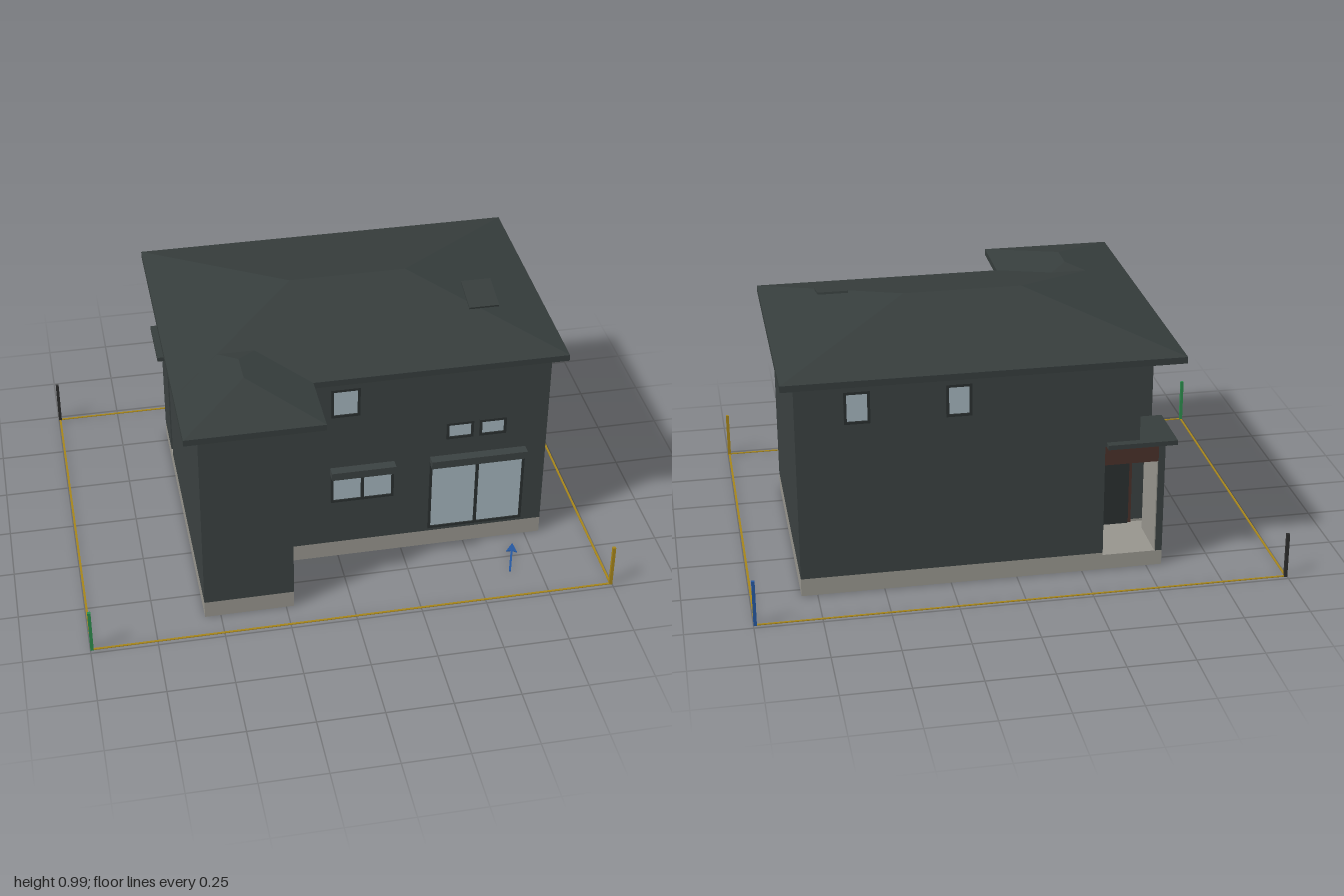
import * as THREE from 'three';

const mat = (name, color, side = THREE.FrontSide) => {
  const m = new THREE.MeshStandardMaterial({ color, side });
  m.name = name;
  return m;
};

export function createModel() {
  const house = new THREE.Group();
  house.name = 'house';
  const wall = mat('wall charcoal', 0x3a4141);
  const roof = mat('roof slate', 0x363d3c);
  const stone = mat('foundation grey', 0x96948d);
  const glass = mat('window glass', 0xa2b3bb);
  const frame = mat('frame dark', 0x2a2f2f);
  const wood = mat('wood brown', 0x49302a);
  const gold = mat('boundary gold', 0xa5841a);
  const green = mat('post green', 0x2c8a4c);
  const blue = mat('marker blue', 0x25579f);
  const black = mat('post black', 0x2c2c2c);

  const add = (name, geo, material, parent = house) => {
    const m = new THREE.Mesh(geo, material);
    m.name = name;
    parent.add(m);
    return m;
  };
  // Box given by its limits on each axis
  const box = (name, x0, x1, y0, y1, z0, z1, material, parent) => {
    const g = new THREE.BoxGeometry(x1 - x0, y1 - y0, z1 - z0);
    g.translate((x0 + x1) / 2, (y0 + y1) / 2, (z0 + z1) / 2);
    return add(name, g, material, parent);
  };
  // Floor plan of [x, z] corners raised from y0 to y1
  const plan = (name, pts, y0, y1, material, hole) => {
    const toV = (p) => new THREE.Vector2(p[0], -p[1]);
    const shape = new THREE.Shape(pts.map(toV));
    if (hole) shape.holes.push(new THREE.Path(hole.map(toV)));
    const g = new THREE.ExtrudeGeometry(shape, { depth: y1 - y0, bevelEnabled: false });
    g.rotateX(-Math.PI / 2).translate(0, y0, 0);
    return add(name, g, material);
  };

  // Foundation ring, underfloor and the two storeys
  const lower = [[-0.56, 0.63], [-0.22, 0.63], [-0.22, 0.37], [0.81, 0.37], [0.81, -0.55],
    [-0.33, -0.55], [-0.33, -0.3], [-0.56, -0.3]];
  const inner = [[-0.52, 0.59], [-0.26, 0.59], [-0.26, 0.33], [0.77, 0.33], [0.77, -0.51],
    [-0.29, -0.51], [-0.29, -0.26], [-0.52, -0.26]];
  const upper = [[-0.56, 0.63], [-0.155, 0.63], [-0.155, 0.37], [0.81, 0.37], [0.81, -0.55],
    [-0.46, -0.55], [-0.46, -0.345], [-0.56, -0.345]];
  plan('foundation', lower, 0, 0.07, stone, inner);
  plan('underfloor', inner, 0.055, 0.07, wood);
  plan('lowerWalls', lower, 0.07, 0.51, wall);
  plan('upperWalls', upper, 0.51, 0.855, wall);
  box('overhangSoffit', -0.22, -0.165, 0.498, 0.512, 0.37, 0.62, wall);

  // Hip roof: flat eave slab with four slopes rising to a ridge
  const hipRoof = (name, x0, x1, z0, z1, rise) => {
    const y0 = 0.87;
    box(name + 'Eave', x0, x1, 0.845, y0, z0, z1, roof);
    const h = Math.min(x1 - x0, z1 - z0) / 2;
    const alongX = x1 - x0 > z1 - z0;
    const cx = (x0 + x1) / 2, cz = (z0 + z1) / 2;
    const a = [x0, y0, z1], b = [x1, y0, z1], c = [x1, y0, z0], d = [x0, y0, z0];
    const r = alongX ? [x0 + h, y0 + rise, cz] : [cx, y0 + rise, z1 - h];
    const s = alongX ? [x1 - h, y0 + rise, cz] : [cx, y0 + rise, z0 + h];
    const tris = alongX
      ? [a, b, s, a, s, r, b, c, s, c, d, r, c, r, s, d, a, r]
      : [a, b, r, b, c, s, b, s, r, c, d, s, d, a, r, d, r, s];
    const g = new THREE.BufferGeometry();
    g.setAttribute('position', new THREE.Float32BufferAttribute(tris.flat(), 3));
    g.computeVertexNormals();
    add(name + 'Slopes', g, roof);
  };
  hipRoof('mainRoof', -0.615, 0.86, -0.605, 0.42, 0.122);
  hipRoof('wingRoof', -0.615, -0.105, 0.05, 0.68, 0.06);

  // Roof plate, parallel to the front slope
  const plate = add('roofPlate', new THREE.BoxGeometry(0.115, 0.008, 0.143), roof);
  plate.position.set(0.6, 0.957, 0.08);
  plate.rotation.x = Math.atan(0.235);

  // Window on a wall: frame bars and panes in local xy, facing local +z
  const addWindow = (name, x, y, z, w, h, panes = 1, turn = 0) => {
    const g = new THREE.Group();
    g.name = name;
    const t = 0.01;
    for (const s of [-1, 1]) {
      box('frameSide', s * w / 2 - t / 2, s * w / 2 + t / 2, -h / 2 - t / 2, h / 2 + t / 2, -0.002, 0.008, frame, g);
      box('frameRail', -w / 2, w / 2, s * h / 2 - t / 2, s * h / 2 + t / 2, -0.002, 0.008, frame, g);
    }
    if (panes === 2) box('mullion', -0.006, 0.006, -h / 2, h / 2, -0.002, 0.008, frame, g);
    box('pane', -w / 2, w / 2, -h / 2, h / 2, -0.002, 0.003, glass, g);
    g.position.set(x, y, z);
    g.rotation.y = turn;
    house.add(g);
  };
  addWindow('upperFrontWindow', 0.025, 0.732, 0.37, 0.1, 0.115);
  for (const x of [0.467, 0.595]) addWindow('slotWindow', x, 0.548, 0.37, 0.095, 0.063);
  addWindow('livingWindow', 0.092, 0.338, 0.37, 0.235, 0.126, 2);
  addWindow('terraceDoor', 0.542, 0.247, 0.37, 0.365, 0.31, 2);
  addWindow('wingSideWindow', -0.22, 0.303, 0.505, 0.08, 0.11, 1, Math.PI / 2);
  for (const x of [0.585, 0.215]) addWindow('backWindow', x, 0.745, -0.55, 0.085, 0.115, 1, Math.PI);
  // Shutter boxes above the large openings
  box('shutterBox', -0.032, 0.216, 0.4, 0.432, 0.37, 0.408, wall);
  box('shutterBox', 0.355, 0.73, 0.4, 0.432, 0.37, 0.408, wall);

  // Entrance porch in the back corner
  box('porchFloor', -0.56, -0.33, 0, 0.06, -0.55, -0.3, stone);
  box('porchCeiling', -0.535, -0.33, 0.435, 0.51, -0.55, -0.3, wood);
  box('porchSideWall', -0.56, -0.535, 0.06, 0.51, -0.55, -0.355, wall);
  box('porchSideLining', -0.536, -0.531, 0.06, 0.435, -0.545, -0.36, stone);
  box('porchCanopy', -0.598, -0.335, 0.51, 0.528, -0.58, -0.345, roof);
  box('doorFrame', -0.5, -0.35, 0.06, 0.42, -0.306, -0.3, wood);
  box('doorLeaf', -0.488, -0.362, 0.06, 0.408, -0.31, -0.3, frame);

  // Plot boundary lines and corner posts
  const X = 0.994, Z = 0.73;
  for (const s of [-1, 1]) {
    box('boundaryLine', -X, X, 0, 0.003, s * Z - 0.004, s * Z + 0.004, gold);
    box('boundaryLine', s * X - 0.004, s * X + 0.004, 0, 0.003, -Z, Z, gold);
  }
  for (const [sx, sz, m] of [[-1, 1, green], [1, 1, gold], [1, -1, blue], [-1, -1, black]]) {
    const x = sx * X, z = sz * Z;
    box('cornerPost', x - 0.006, x + 0.006, 0, 0.18, z - 0.006, z + 0.006, m);
  }

  // Flat ground arrow, tip toward the house
  const arrowPts = [[0, 0], [-0.022, 0.052], [-0.004, 0.046], [-0.004, 0.168],
    [0.004, 0.168], [0.004, 0.046], [0.022, 0.052]];
  const arrow = plan('entryArrow', arrowPts, 0, 0.004, blue);
  arrow.position.set(0.687, 0, 0.43);
  arrow.rotation.y = -0.32;
  return house;
}
